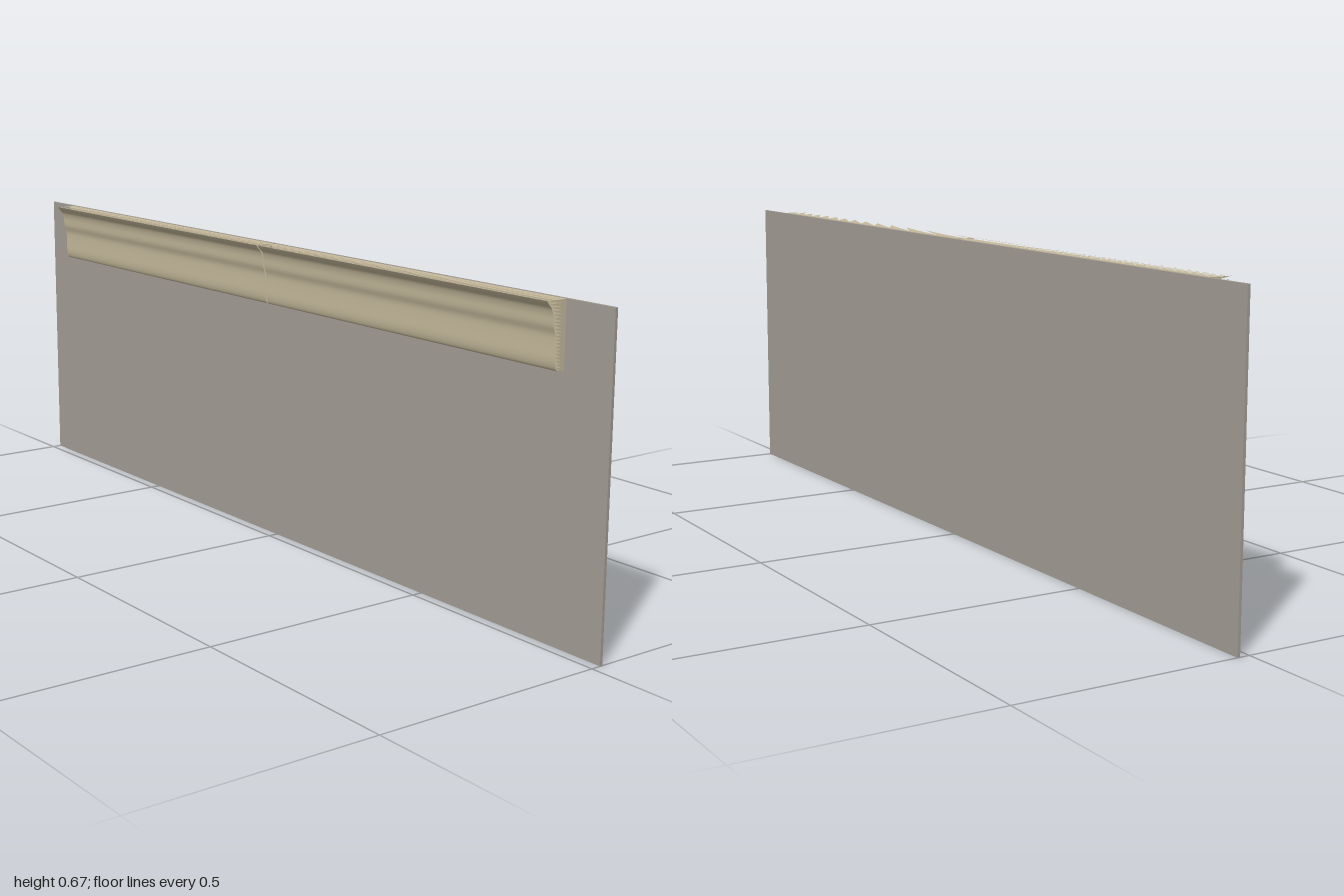
import * as THREE from 'three';

const TOP = 0.665, BOTTOM = 0.533, SLAB_FRONT = -0.008;

// Moulding profile as (z, y), bottom to top
const profile = new THREE.SplineCurve([
  [-0.008, 0.533], [0.0, 0.534], [0.004, 0.541], [0.006, 0.555], [0.006, 0.58],
  [0.007, 0.6], [0.012, 0.617], [0.014, 0.637], [0.018, 0.65], [0.025, 0.658], [0.03, 0.665],
].map(([z, y]) => new THREE.Vector2(z, y)));
const samples = profile.getPoints(120);
const depthAt = (y) => samples.reduce((a, b) => (Math.abs(b.y - y) < Math.abs(a.y - y) ? b : a)).x;

// Smooth face: a plane whose rows follow the profile
function faceGeometry(x0, x1) {
  const geo = new THREE.PlaneGeometry(1, 1, 1, 48);
  const { position, uv } = geo.attributes;
  for (let i = 0; i < position.count; i++) {
    const p = profile.getPoint(uv.getY(i));
    position.setXYZ(i, THREE.MathUtils.lerp(x0, x1, uv.getX(i)), p.y, p.x);
  }
  geo.computeVertexNormals();
  return geo;
}

function triangles(points) {
  const geo = new THREE.BufferGeometry();
  geo.setAttribute('position', new THREE.Float32BufferAttribute(points, 3));
  geo.computeVertexNormals();
  return geo;
}

// Comb of thin teeth closing one end; side is the way it faces
function endTeeth(x, side, count = 20) {
  const pts = [];
  const step = (TOP - BOTTOM) / count;
  for (let i = 0; i < count; i++) {
    const y0 = BOTTOM + i * step, y1 = y0 + step;
    const a = [x, y0, SLAB_FRONT], b = [x, y1, SLAB_FRONT], tip = [x, y1, depthAt(y1)];
    pts.push(...a, ...(side > 0 ? [...b, ...tip] : [...tip, ...b]));
  }
  return triangles(pts);
}

// Row of teeth along the top edge
function topTeeth(x0, x1, count = 64) {
  const pts = [];
  const step = (x1 - x0) / count;
  for (let i = 0; i < count; i++) {
    const x = x0 + i * step;
    pts.push(x, TOP, SLAB_FRONT, x + step / 2, TOP, 0.03, x + step, TOP, SLAB_FRONT);
  }
  return triangles(pts);
}

export function createModel() {
  const model = new THREE.Group();
  const panelGrey = new THREE.MeshStandardMaterial({ color: 0xa39d95 });
  panelGrey.name = 'panelGrey';
  const mouldingTan = new THREE.MeshStandardMaterial({ color: 0xc6ba9c });
  mouldingTan.name = 'mouldingTan';

  const add = (parent, name, geo, mat) => {
    const mesh = new THREE.Mesh(geo, mat);
    mesh.name = name;
    parent.add(mesh);
    return mesh;
  };

  // Wall panel
  add(model, 'wallPanel', new THREE.BoxGeometry(2, TOP, 0.006), panelGrey)
    .position.set(0, TOP / 2, -0.024);

  // Two lengths of moulding with a narrow gap between them
  for (const [name, x0, x1] of [['rightMoulding', -0.886, -0.007], ['leftMoulding', -0.002, 0.884]]) {
    const part = new THREE.Group();
    part.name = name;
    add(part, 'backingSlab', new THREE.BoxGeometry(x1 - x0, TOP - BOTTOM, 0.01), mouldingTan)
      .position.set((x0 + x1) / 2, (TOP + BOTTOM) / 2, -0.013);
    add(part, 'profiledFace', faceGeometry(x0, x1), mouldingTan);
    add(part, 'leftEndTeeth', endTeeth(x1, 1), mouldingTan);
    add(part, 'rightEndTeeth', endTeeth(x0, -1), mouldingTan);
    add(part, 'topTeeth', topTeeth(x0, x1), mouldingTan);
    model.add(part);
  }
  return model;
}
